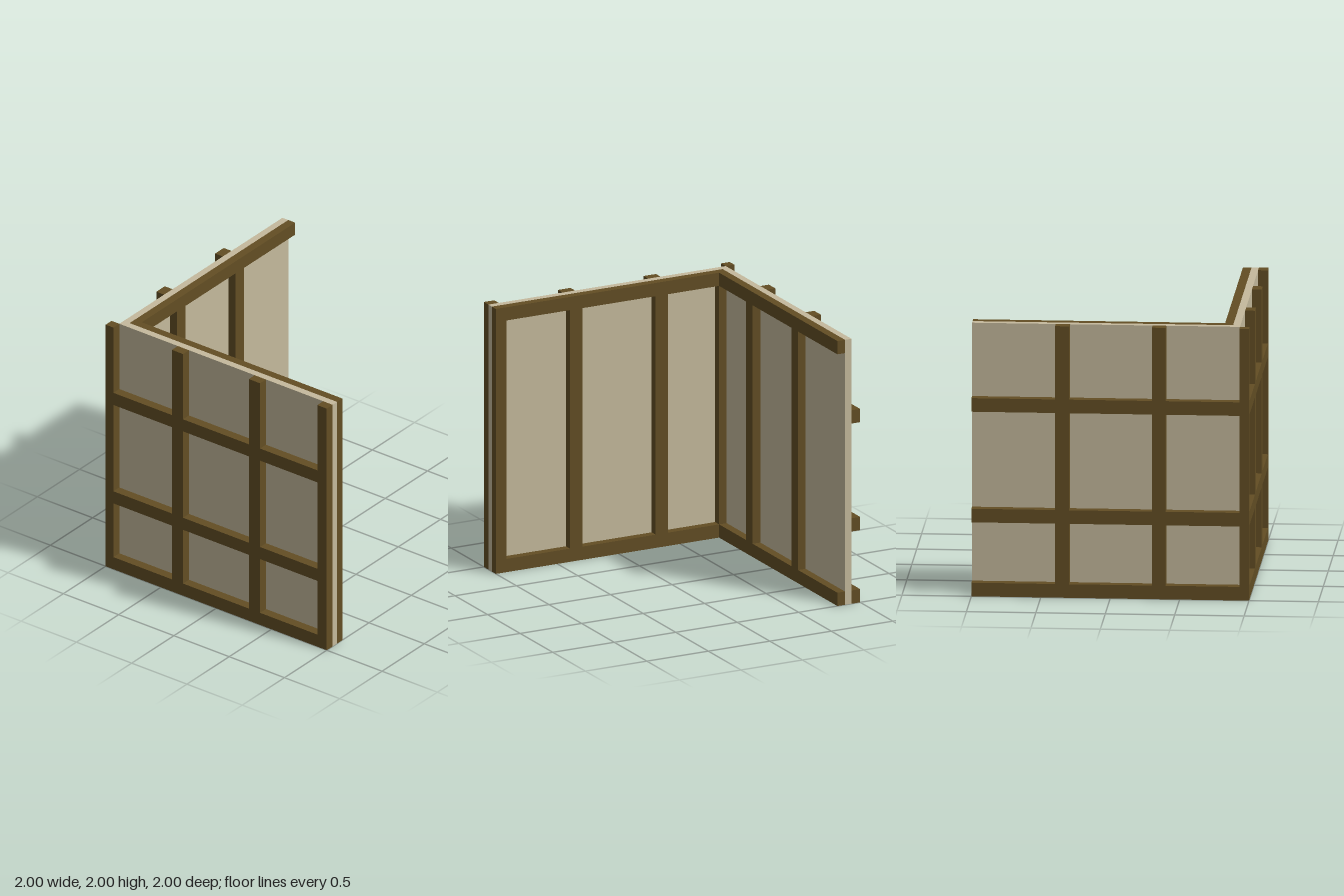
import * as THREE from 'three';

const wood = new THREE.MeshStandardMaterial({ color: 0x634e24 });
const plaster = new THREE.MeshStandardMaterial({ color: 0xc5ba9d });

// Layer boundaries through the wall thickness, from outside to inside
const OUT = -1, SKIN = -0.93, CORE = -0.877, IN = -0.815;
const RAIL = 0.1;

// Box from its limits on each axis
function box(name, material, [x0, x1], [y0, y1], [z0, z1]) {
  const mesh = new THREE.Mesh(new THREE.BoxGeometry(x1 - x0, y1 - y0, z1 - z0), material);
  mesh.position.set((x0 + x1) / 2, (y0 + y1) / 2, (z0 + z1) / 2);
  mesh.name = name;
  return mesh;
}

// One wall: place(along, through) gives the x and z limits of a part
function buildWall(name, posts, panelStart, place) {
  const wall = new THREE.Group();
  wall.name = name;
  const add = (part, material, along, y, through) => {
    const [x, z] = place(along, through);
    wall.add(box(part, material, x, y, z));
  };

  add('panel', plaster, [panelStart, 1], [0, 2], [SKIN, CORE]);

  // Inner frame: bottom and top rails with studs between them
  for (const y of [0, 2 - RAIL]) add('innerRail', wood, [IN, 1], [y, y + RAIL], [CORE, IN]);
  for (const p of posts) add('innerStud', wood, p, [RAIL, 2 - RAIL], [CORE, IN]);

  // Outer lattice: three rails, with stud pieces filling the gaps up to the top
  const rails = [0, 0.545, 1.36];
  rails.forEach((y, i) => {
    add('outerRail', wood, [SKIN, 1], [y, y + RAIL], [OUT, SKIN]);
    const next = i < rails.length - 1 ? rails[i + 1] : 2;
    for (const p of posts) add('outerStud', wood, p, [y + RAIL, next], [OUT, SKIN]);
  });
  return wall;
}

export function createModel() {
  const model = new THREE.Group();
  model.name = 'cornerWall';
  const studs = [[-0.4, -0.3], [0.295, 0.397]];

  // Back wall runs along x, side wall runs along z and has an extra end stud
  model.add(buildWall('backWall', studs, SKIN, (along, through) => [along, through]));
  model.add(buildWall('sideWall', [...studs, [0.915, 1]], CORE, (along, through) => [through, along]));

  // Corner posts outside and inside
  model.add(box('outerCornerPost', wood, [OUT, SKIN], [0, 2], [OUT, SKIN]));
  model.add(box('innerCornerPost', wood, [CORE, IN], [0, 2], [CORE, IN]));
  return model;
}
